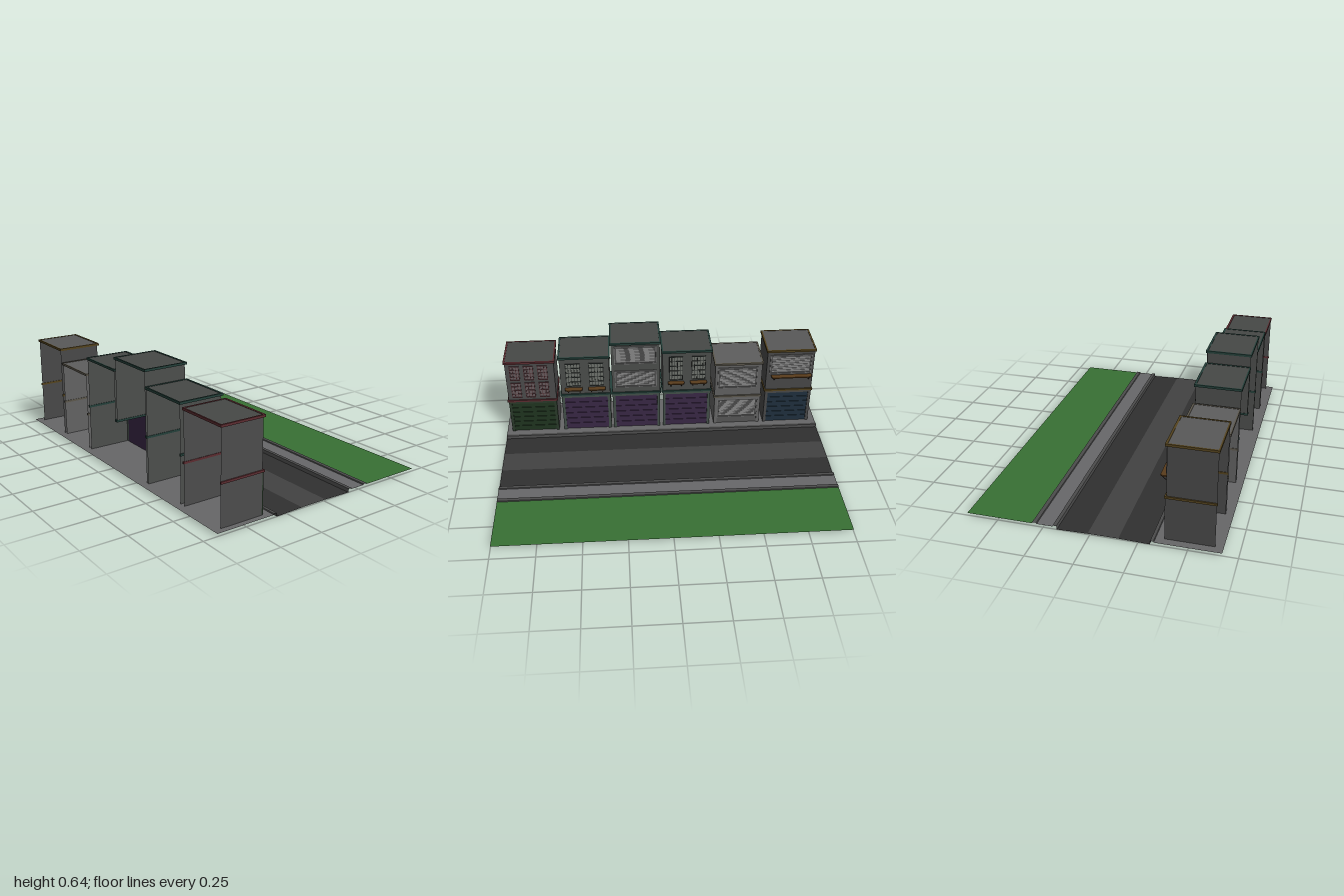
import * as THREE from 'three';

const FRONT = -0.38, BACK = -0.628, BASE = 0.014, LIGHT = 0x808080, DARK = 0x3c3c3c;
const mats = {};
const mat = (color) => (mats[color] ??= new THREE.MeshStandardMaterial({ color, side: THREE.DoubleSide }));

function add(parent, name, geometry, color) {
  const mesh = new THREE.Mesh(geometry, mat(color));
  mesh.name = name;
  parent.add(mesh);
  return mesh;
}

function box(parent, name, color, x0, x1, y0, y1, z0, z1) {
  const mesh = add(parent, name, new THREE.BoxGeometry(x1 - x0, y1 - y0, z1 - z0), color);
  mesh.position.set((x0 + x1) / 2, (y0 + y1) / 2, (z0 + z1) / 2);
  return mesh;
}

// Open strip of ground: a cross-section in x and y run along z
function groundStrip(parent, name, color, points) {
  const pos = [], index = [];
  for (let i = 0; i < points.length - 1; i++) {
    const [a, b] = [points[i], points[i + 1]];
    pos.push(a[0], a[1], 1, b[0], b[1], 1, b[0], b[1], -1, a[0], a[1], -1);
    const k = i * 4;
    index.push(k, k + 1, k + 2, k, k + 2, k + 3);
  }
  const g = new THREE.BufferGeometry();
  g.setAttribute('position', new THREE.Float32BufferAttribute(pos, 3));
  g.setIndex(index);
  g.computeVertexNormals();
  add(parent, name, g, color);
}

// Flat wall facing along z
function sideWall(parent, color, z, y0, y1) {
  const mesh = add(parent, 'sideWall', new THREE.PlaneGeometry(FRONT - BACK, y1 - y0), color);
  mesh.position.set((FRONT + BACK) / 2, (y0 + y1) / 2, z);
}

// Bars round the front and sides of a house, and the back if asked
function trim(parent, name, color, y0, y1, z0, z1, withBack) {
  const o = 0.007;
  box(parent, name, color, FRONT - 0.003, FRONT + o + 0.002, y0, y1, z0 - o, z1 + o);
  for (const [a, b] of [[z0 - o, z0 + 0.003], [z1 - 0.003, z1 + o]])
    box(parent, name, color, BACK - 0.003, FRONT, y0, y1, a, b);
  if (withBack) box(parent, name, color, BACK - 0.004, BACK + 0.004, y0, y1, z0 - o, z1 + o);
}

function frame(parent, color, y0, y1, z0, z1, t, depth) {
  const x0 = FRONT - 0.002, x1 = FRONT + depth;
  box(parent, 'frame', color, x0, x1, y0, y0 + t, z0, z1);
  box(parent, 'frame', color, x0, x1, y1 - t, y1, z0, z1);
  box(parent, 'frame', color, x0, x1, y0, y1, z0, z0 + t);
  box(parent, 'frame', color, x0, x1, y0, y1, z1 - t, z1);
}

// Window with glazing bars
function gridWindow(parent, paneColor, barColor, y0, y1, z0, z1, cols, rows) {
  const g = new THREE.Group();
  g.name = 'gridWindow';
  parent.add(g);
  box(g, 'pane', paneColor, FRONT - 0.001, FRONT + 0.002, y0, y1, z0, z1);
  frame(g, barColor, y0, y1, z0, z1, 0.004, 0.007);
  for (let i = 1; i < cols; i++) {
    const z = z0 + (z1 - z0) * i / cols;
    box(g, 'bar', barColor, FRONT, FRONT + 0.006, y0, y1, z - 0.0018, z + 0.0018);
  }
  for (let i = 1; i < rows; i++) {
    const y = y0 + (y1 - y0) * i / rows;
    box(g, 'bar', barColor, FRONT, FRONT + 0.006, y - 0.0015, y + 0.0015, z0, z1);
  }
}

// Louvred shutter
function louvre(parent, y0, y1, z0, z1, slats) {
  const g = new THREE.Group();
  g.name = 'louvre';
  parent.add(g);
  box(g, 'backing', 0x505050, FRONT - 0.001, FRONT + 0.001, y0, y1, z0, z1);
  frame(g, 0x707070, y0, y1, z0, z1, 0.005, 0.006);
  const m = 0.014, step = (y1 - y0 - 2 * m) / slats;
  for (let i = 0; i < slats; i++) {
    const y = y0 + m + (i + 0.5) * step;
    const s = box(g, 'slat', LIGHT, FRONT, FRONT + 0.004, y - step * 0.36, y + step * 0.36, z0 + m, z1 - m);
    s.rotation.z = 0.15;
  }
}

// Rounded balcony shelf on curved brackets
function balcony(parent, y, z0, z1) {
  const g = new THREE.Group();
  g.name = 'balcony';
  parent.add(g);
  const w = 0.035, r = 0.018;
  const s = new THREE.Shape();
  s.moveTo(0, -z0);
  s.lineTo(w - r, -z0);
  s.quadraticCurveTo(w, -z0, w, -z0 - r);
  s.lineTo(w, -z1 + r);
  s.quadraticCurveTo(w, -z1, w - r, -z1);
  s.lineTo(0, -z1);
  const shelf = add(g, 'shelf', new THREE.ExtrudeGeometry(s, { depth: 0.007, bevelEnabled: false, curveSegments: 6 }), 0x5a3c1c);
  shelf.rotation.x = -Math.PI / 2;
  shelf.position.set(FRONT, y, 0);
  for (const z of [z0 + 0.018, z1 - 0.018]) {
    const b = add(g, 'bracket', new THREE.TorusGeometry(0.024, 0.0022, 5, 8, Math.PI / 2), 0x2c2420);
    b.rotation.z = -Math.PI / 2;
    b.position.set(FRONT + 0.003, y, z);
  }
}

// Shop door with horizontal panels, side posts and a lintel
function groundFloor(parent, h, mid) {
  const { z0, z1 } = h, p = 0.018, top = mid - 0.018;
  const g = new THREE.Group();
  g.name = 'groundFloor';
  parent.add(g);
  box(g, 'lintel', h.post, FRONT - 0.003, FRONT + 0.007, top, mid, z0, z1);
  for (const z of [z0, z1 - p]) box(g, 'post', h.post, FRONT - 0.003, FRONT + 0.007, BASE, mid, z, z + p);
  box(g, 'door', h.door, FRONT - 0.003, FRONT, BASE, top, z0 + p, z1 - p);
  if (h.louvreDoor) return louvre(g, 0.06, top, z0 + p, z1 - p, 10);
  for (let i = 1; i < 6; i++) {
    const y = BASE + (top - BASE) * i / 6;
    box(g, 'doorRib', h.door, FRONT - 0.002, FRONT + 0.004, y - 0.003, y + 0.003, z0 + p, z1 - p);
  }
}

function house(parent, h) {
  const g = new THREE.Group();
  g.name = 'house';
  parent.add(g);
  const { z0, z1, mid, top } = h;
  groundFloor(g, h, mid);
  const upper = add(g, 'upperWall', new THREE.PlaneGeometry(z1 - z0, top - mid), h.wall);
  upper.rotation.y = Math.PI / 2;
  upper.position.set(FRONT, (top + mid) / 2, (z0 + z1) / 2);
  sideWall(g, h.wall, z0, h.openLow === 'z0' ? mid : BASE, top);
  sideWall(g, h.wall, z1, h.openLow === 'z1' ? mid : BASE, top);
  const roof = add(g, 'roof', new THREE.PlaneGeometry(FRONT - BACK, z1 - z0), h.roof);
  roof.rotation.x = -Math.PI / 2;
  roof.position.set((FRONT + BACK) / 2, top - 0.002, (z0 + z1) / 2);
  trim(g, 'roofTrim', h.trim, top - 0.013, top, z0, z1, true);
  trim(g, 'floorTrim', h.trim, mid - 0.004, mid + 0.008, z0, z1, false);
  h.details(g);
}

export function createModel() {
  const model = new THREE.Group();
  model.name = 'street';

  // Road, kerbs, pavements and lawn
  const ground = new THREE.Group();
  ground.name = 'ground';
  model.add(ground);
  groundStrip(ground, 'pavement', 0x666668, [[-0.67, BASE], [-0.33, BASE]]);
  groundStrip(ground, 'kerb', 0x4c4c4c, [[-0.33, BASE], [-0.328, 0.02], [-0.312, 0.02], [-0.31, 0]]);
  groundStrip(ground, 'roadLane', 0x303030, [[-0.31, 0], [-0.148, 0.004]]);
  groundStrip(ground, 'roadMiddle', 0x424242, [[-0.148, 0.004], [0.012, 0.004]]);
  groundStrip(ground, 'roadLane', 0x303030, [[0.012, 0.004], [0.176, 0]]);
  groundStrip(ground, 'kerb', 0x4c4c4c, [[0.176, 0], [0.178, 0.02], [0.198, 0.02], [0.2, BASE]]);
  groundStrip(ground, 'pavement', 0x68686a, [[0.2, BASE], [0.285, BASE]]);
  groundStrip(ground, 'kerb', 0x4c4c4c, [[0.285, BASE], [0.287, 0.02], [0.309, 0.02], [0.311, BASE]]);
  groundStrip(ground, 'lawn', 0x387034, [[0.311, BASE], [0.67, BASE]]);

  // Row of houses
  const green = { trim: 0x24403a, post: 0x44504a, door: 0x3a2846, wall: 0x4c4e4c, roof: 0x464846, mid: 0.275 };
  const pairOfWindows = (g, y0, y1, spans, shelfY) => {
    for (const [a, b] of spans) {
      gridWindow(g, 0x70746e, 0x2c302e, y0, y1, a + 0.004, b - 0.004, 5, 5);
      balcony(g, shelfY, a - 0.004, b + 0.004);
    }
  };
  const houses = [
    { z0: 0.667, z1: 0.967, mid: 0.244, top: 0.53, trim: 0x5c2c30, post: 0x2a3a2a, door: 0x20341f, wall: 0x4c4c4c, roof: 0x464846,
      details: (g) => {
        for (const z of [0.709, 0.795, 0.881]) for (const [y0, y1] of [[0.27, 0.38], [0.398, 0.5]])
          gridWindow(g, 0x685c5e, 0x543438, y0, y1, z, z + 0.06, 3, 4);
      } },
    { ...green, z0: 0.328, z1: 0.634, top: 0.55,
      details: (g) => pairOfWindows(g, 0.34, 0.505, [[0.36, 0.46], [0.504, 0.604]], 0.322) },
    { ...green, z0: 0.014, z1: 0.314, top: 0.64, openLow: 'z0',
      details: (g) => {
        louvre(g, 0.32, 0.44, 0.034, 0.296, 9);
        louvre(g, 0.49, 0.615, 0.034, 0.296, 9);
      } },
    { ...green, z0: -0.306, z1: -0.004, top: 0.57, openLow: 'z1',
      details: (g) => pairOfWindows(g, 0.36, 0.53, [[-0.134, -0.04], [-0.276, -0.18]], 0.343) },
    { z0: -0.63, z1: -0.335, mid: 0.22, top: 0.468, trim: 0x5c574c, post: 0x666666, door: 0x565656, wall: 0x626262, roof: 0x5e5e5e,
      louvreDoor: true, details: (g) => louvre(g, 0.285, 0.435, -0.603, -0.352, 10) },
    { z0: -0.955, z1: -0.658, mid: 0.255, top: 0.55, trim: 0x54431e, post: 0x4a4a4a, door: 0x20303e, wall: DARK + 0x0c0c0c, roof: 0x585858,
      details: (g) => {
        louvre(g, 0.38, 0.515, -0.94, -0.678, 8);
        balcony(g, 0.362, -0.945, -0.69);
      } },
  ];
  houses.forEach((h) => house(model, h));
  return model;
}
